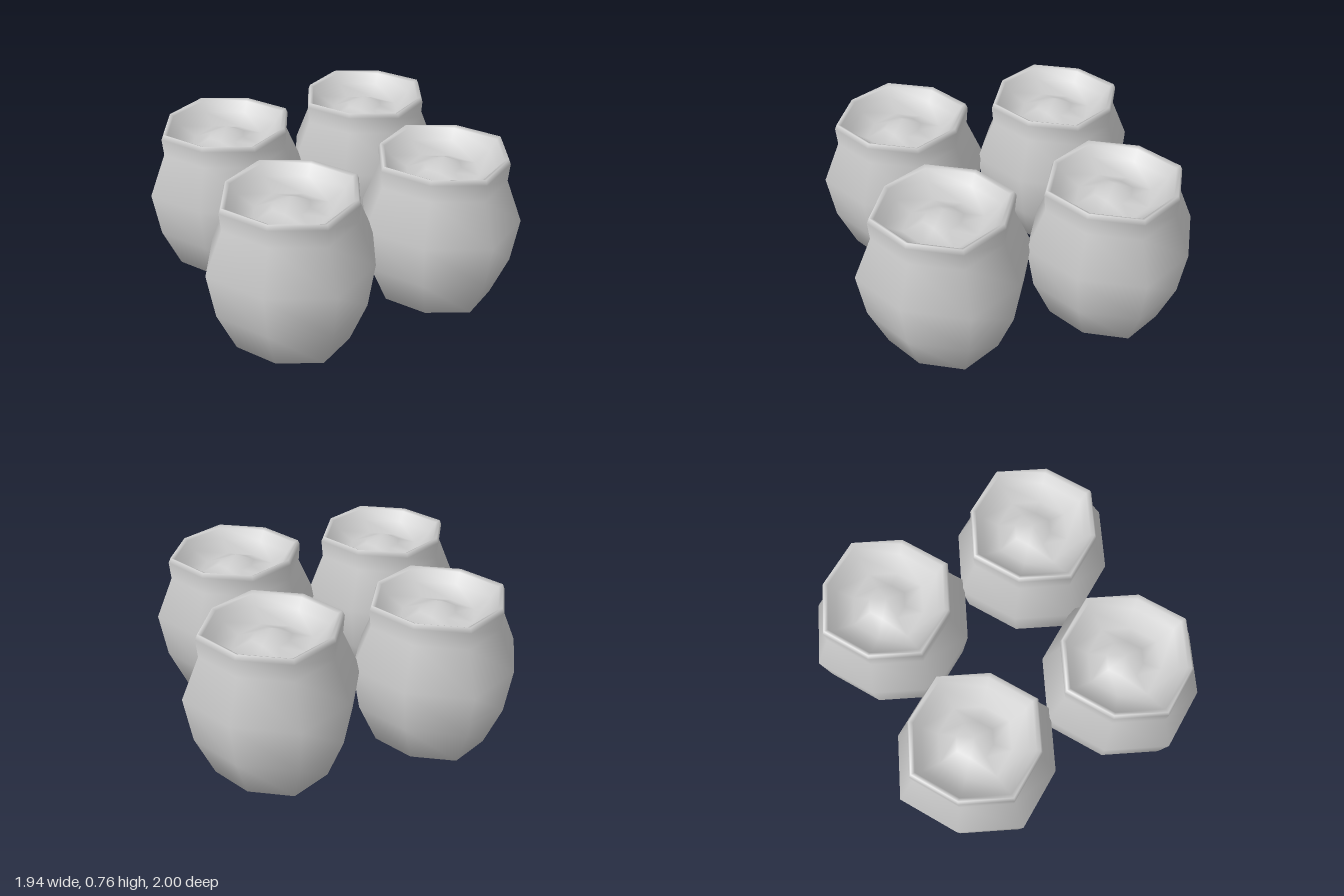
import * as THREE from 'three';
import { mergeVertices } from 'three/addons/utils/BufferGeometryUtils.js';

// Outline of one pot: base, belly, neck, lip, then down to the heaped filling
const PROFILE = [
  [0, 0], [0.28, 0], [0.365, 0.21], [0.4, 0.44], [0.318, 0.65],
  [0.325, 0.74], [0.315, 0.765], [0.295, 0.755], [0.26, 0.705],
  [0.18, 0.655], [0.09, 0.69], [0, 0.735],
];

function potGeometry() {
  const points = PROFILE.map(([r, y]) => new THREE.Vector2(r, y));
  const lathe = new THREE.LatheGeometry(points, 8);

  // Push the diagonal corners out a little, so the octagon is slightly square
  const pos = lathe.attributes.position;
  for (let i = 0; i < pos.count; i++) {
    const x = pos.getX(i), z = pos.getZ(i);
    const squareness = Math.sin(2 * Math.atan2(x, z)) ** 2;
    const k = 1 + 0.085 * squareness;
    pos.setX(i, x * k);
    pos.setZ(i, z * k);
  }

  // Weld the seam for smooth shading all round
  lathe.deleteAttribute('uv');
  lathe.deleteAttribute('normal');
  const geometry = mergeVertices(lathe, 1e-4);
  geometry.computeVertexNormals();
  return geometry;
}

export function createModel() {
  const group = new THREE.Group();
  group.name = 'potCluster';
  const material = new THREE.MeshStandardMaterial({ color: 0xcccccc });
  const geometry = potGeometry();

  // Four pots standing in a cross
  const places = {
    frontPot: [0, 0.6], backPot: [0, -0.6], leftPot: [0.57, 0], rightPot: [-0.57, 0],
  };
  for (const [name, [x, z]] of Object.entries(places)) {
    const pot = new THREE.Mesh(geometry, material);
    pot.name = name;
    pot.position.set(x, 0, z);
    pot.rotation.y = 0.025;
    group.add(pot);
  }
  return group;
}
